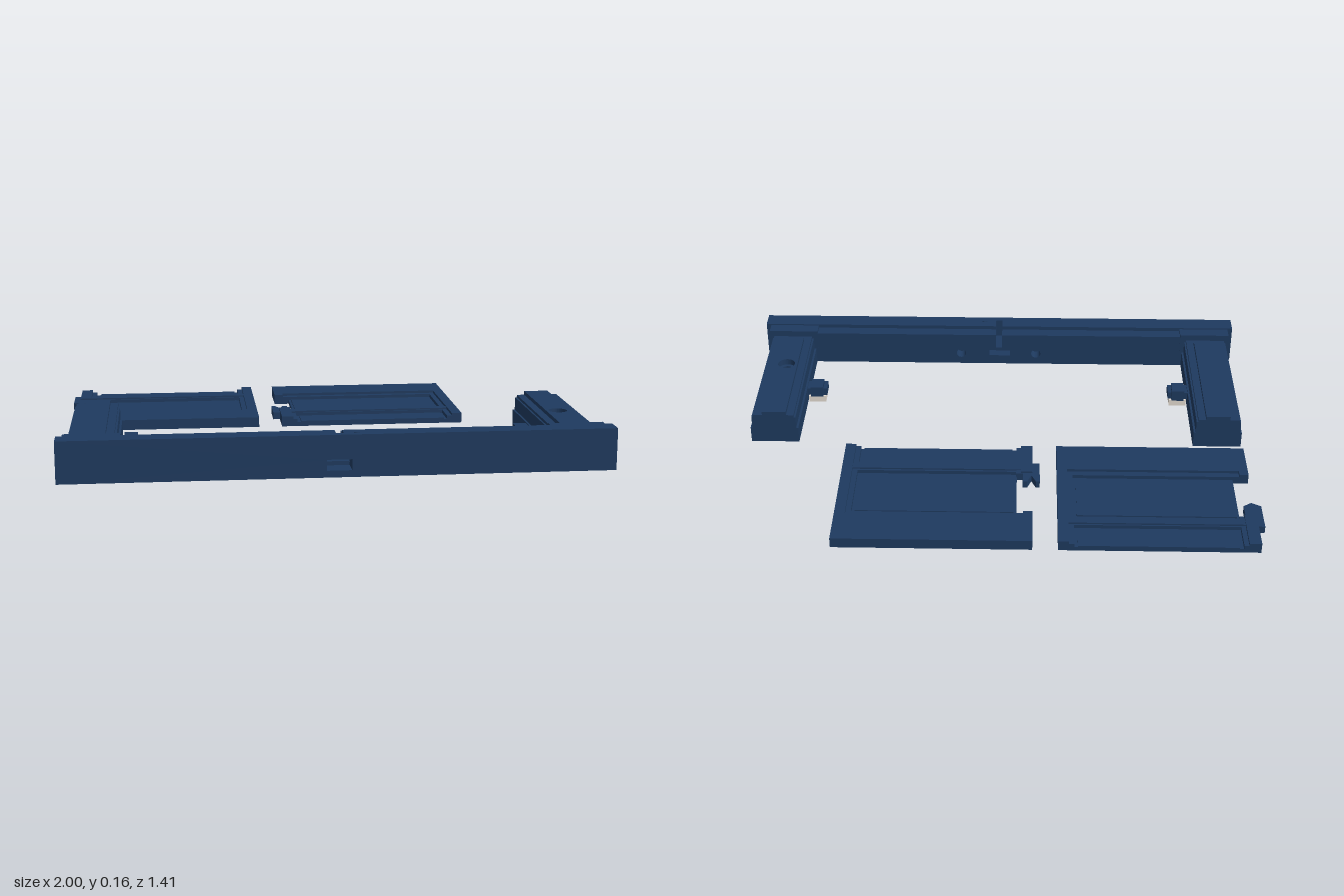
import * as THREE from 'three';

const navy = new THREE.MeshStandardMaterial({ name: 'navy', color: 0x1e3a5f });
const ivory = new THREE.MeshStandardMaterial({ name: 'ivory', color: 0xe4dcd2 });

function box(parent, name, x0, x1, y0, y1, z0, z1, mat = navy) {
  const g = new THREE.BoxGeometry(Math.abs(x1 - x0), y1 - y0, Math.abs(z1 - z0));
  const m = new THREE.Mesh(g, mat);
  m.name = name;
  m.position.set((x0 + x1) / 2, (y0 + y1) / 2, (z0 + z1) / 2);
  parent.add(m);
}

const rect = (x0, x1, y0, y1) => [[x0, y0], [x1, y0], [x1, y1], [x0, y1]];

function shapeOf(points, holes = []) {
  const s = new THREE.Shape(points.map(p => new THREE.Vector2(...p)));
  for (const h of holes) {
    const path = new THREE.Path();
    if (h.r) path.absarc(h.x, h.y, h.r, 0, Math.PI * 2, true);
    else path.setFromPoints(h.map(p => new THREE.Vector2(...p)));
    s.holes.push(path);
  }
  return s;
}

// Plate drawn in x and z, reaching from y0 up to y1
function plate(parent, name, points, holes, y0, y1) {
  const g = new THREE.ExtrudeGeometry(shapeOf(points, holes), { depth: y1 - y0, bevelEnabled: false, curveSegments: 16 });
  g.rotateX(Math.PI / 2).translate(0, y1, 0);
  const m = new THREE.Mesh(g, navy);
  m.name = name;
  parent.add(m);
}

// Slab drawn in x and y, reaching from z0 to z1
function slab(parent, name, points, holes, z0, z1) {
  const g = new THREE.ExtrudeGeometry(shapeOf(points, holes), { depth: z1 - z0, bevelEnabled: false, curveSegments: 12 });
  g.translate(0, 0, z0);
  const m = new THREE.Mesh(g, navy);
  m.name = name;
  parent.add(m);
}

// Outline of a bar whose top edge has the central notch
const notched = (w, h) => [[-w, 0], [w, 0], [w, h], [0.012, h], [0.012, 0.08], [-0.015, 0.08], [-0.015, h], [-w, h]];

function createBeam() {
  const g = new THREE.Group();
  g.name = 'frontBeam';
  const slot = rect(-0.05, 0.04, 0.025, 0.065);
  slab(g, 'beamFace', rect(-1, 1, 0, 0.155), [slot], 0.68, 0.705);
  slab(g, 'beamCore', notched(1, 0.155), [slot], 0.63, 0.68);
  slab(g, 'beamBackStrip', notched(0.785, 0.14),
    [rect(-0.05, 0.04, 0.04, 0.065), { x: -0.16, y: 0.05, r: 0.02 }, { x: 0.16, y: 0.05, r: 0.02 }], 0.58, 0.63);
  // small pin beside the notch
  const pin = new THREE.Mesh(new THREE.CylinderGeometry(0.011, 0.011, 0.004, 16), navy);
  pin.name = 'topPin';
  pin.position.set(0.06, 0.155, 0.675);
  g.add(pin);
  return g;
}

function createArm(s) {
  const g = new THREE.Group();
  g.name = s > 0 ? 'leftArm' : 'rightArm';
  const bore = { x: s * 0.875, y: 0.33, r: 0.02 };
  const wide = { x: s * 0.875, y: 0.33, r: 0.035 };
  const span = (a, b, z1) => rect(s * a, s * b, -0.035, z1);
  plate(g, 'armBase', span(0.785, 0.975, 0.63), [bore], 0, 0.065);
  plate(g, 'armBody', span(0.793, 0.968, 0.63), [bore], 0.065, 0.115);
  plate(g, 'armTop', span(0.8, 0.962, 0.63), [wide], 0.115, 0.125);
  plate(g, 'armRidge', span(0.83, 0.925, 0.545), [wide], 0.125, 0.14);
  box(g, 'cornerBlock', s * 0.775, s * 0.98, 0.06, 0.15, 0.578, 0.63);
  // side clip with a ribbed ivory foot
  box(g, 'clipBody', s * 0.705, s * 0.79, 0.03, 0.06, 0.265, 0.325);
  box(g, 'clipCap', s * 0.72, s * 0.77, 0.03, 0.075, 0.25, 0.315);
  box(g, 'clipFoot', s * 0.71, s * 0.78, 0.012, 0.03, 0.255, 0.32, ivory);
  for (let i = 0; i < 4; i++) {
    const z = 0.257 + i * 0.017;
    box(g, 'clipRib', s * 0.71, s * 0.78, 0.002, 0.012, z, z + 0.01, ivory);
  }
  return g;
}

// Recessed cover; dir = -1 turns the layout end for end in z
function createCover(name, dx, dir, hook) {
  const g = new THREE.Group();
  g.name = name;
  const X = x => x + dx;
  const Z = z => (dir > 0 ? z : -0.815 - z);
  const part = (n, x0, x1, z0, z1, y0, y1) => box(g, n, X(x0), X(x1), y0, y1, Z(z0), Z(z1));
  const outline = [[-0.975, -0.71], [-0.24, -0.71], [-0.24, -0.105], [-0.975, -0.105],
    [-0.975, -0.285], [-0.915, -0.285], [-0.915, -0.535], [-0.975, -0.535]];
  plate(g, 'coverBase', outline.map(([x, z]) => [X(x), Z(z)]), [], 0, 0.016);
  part('sideRim', -0.28, -0.24, -0.71, -0.26, 0.016, 0.04);
  part('sideStep', -0.3, -0.28, -0.71, -0.26, 0.016, 0.03);
  part('wideBand', -0.975, -0.24, -0.26, -0.105, 0.016, 0.04);
  part('bandStep', -0.94, -0.28, -0.285, -0.26, 0.016, 0.03);
  part('notchCorner', -0.975, -0.94, -0.285, -0.26, 0.016, 0.04);
  part('outerRim', -0.975, -0.93, -0.71, -0.535, 0.016, 0.04);
  part('outerStep', -0.93, -0.912, -0.71, -0.535, 0.016, 0.03);
  part('divider', -0.912, -0.3, -0.598, -0.547, 0.016, 0.03);
  part('dividerTop', -0.93, -0.28, -0.592, -0.555, 0.03, 0.036);
  part('mainPanel', -0.905, -0.312, -0.527, -0.302, 0.016, 0.021);
  part('endPanel', -0.897, -0.312, -0.71, -0.612, 0.016, 0.021);
  plate(g, 'hook', hook, [], 0.005, 0.034);
  return g;
}

export function createModel() {
  const model = new THREE.Group();
  model.name = 'frameAndCovers';
  model.add(createBeam(), createArm(1), createArm(-1));
  model.add(createCover('rightCover', 0, 1,
    [[-1, -0.6], [-0.97, -0.6], [-0.935, -0.6], [-0.935, -0.475], [-0.965, -0.455], [-1, -0.475]]));
  model.add(createCover('leftCover', 0.828, -1,
    [[-0.175, -0.215], [-0.175, -0.335], [-0.16, -0.335], [-0.143, -0.295], [-0.127, -0.335],
      [-0.11, -0.335], [-0.11, -0.285], [-0.085, -0.285], [-0.085, -0.215]]));
  return model;
}
